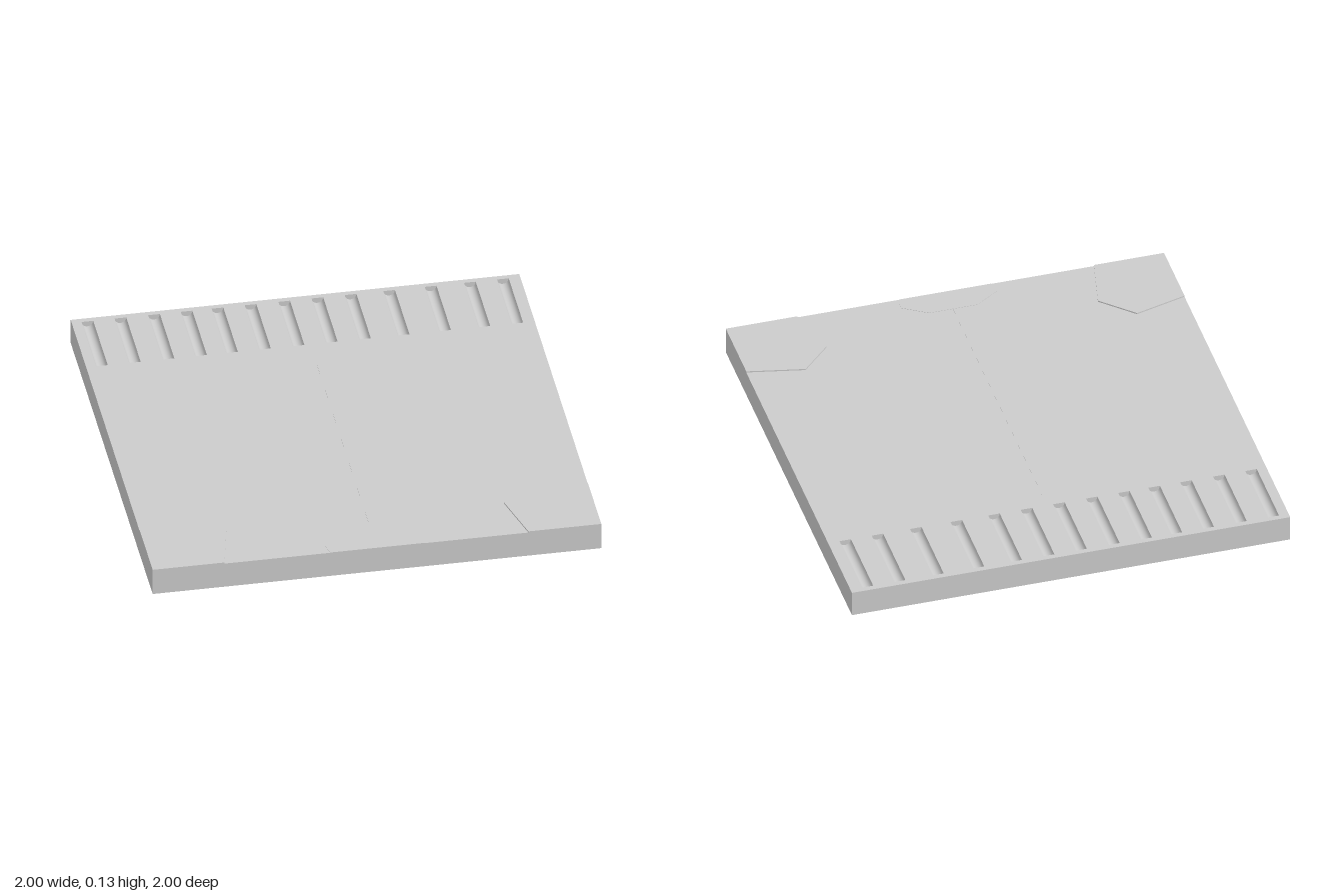
import * as THREE from 'three';

const TOP = 0.122;
const PAD_TOP = 0.128;
const SLOT = { radius: 0.026, back: -0.975, front: -0.622 };
const SLOT_X = [-0.93, -0.783, -0.633, -0.488, -0.35, -0.203, -0.053, 0.095, 0.243, 0.415, 0.6, 0.775, 0.922];

const material = new THREE.MeshStandardMaterial({ color: 0xcccccc, flatShading: true });
const grooveMaterial = new THREE.MeshStandardMaterial({ color: 0xcccccc, side: THREE.DoubleSide });

// Outline given as [x, z] pairs on the ground plane
const outline = (points) => points.map(([x, z]) => new THREE.Vector2(x, -z));

function addMesh(parent, name, geometry, mat = material) {
  const mesh = new THREE.Mesh(geometry, mat);
  mesh.name = name;
  parent.add(mesh);
  return mesh;
}

// Low plate standing on the slab
function addPlate(parent, name, points, top) {
  const geometry = new THREE.ExtrudeGeometry(new THREE.Shape(outline(points)), {
    depth: top - TOP, bevelEnabled: false,
  });
  geometry.rotateX(-Math.PI / 2);
  addMesh(parent, name, geometry).position.y = TOP;
}

export function createModel() {
  const model = new THREE.Group();
  model.name = 'slab';

  // Slab sides and underside: a box without its top face
  const box = new THREE.BoxGeometry(2, TOP, 2);
  box.setIndex(Array.from(box.index.array).filter((_, i) => i < 12 || i >= 18));
  box.clearGroups();
  addMesh(model, 'slabBody', box).position.y = TOP / 2;

  // Top surface, cut open over each slot
  const surface = new THREE.Shape(outline([[-1, 1], [1, 1], [1, -1], [-1, -1]]));
  for (const x of SLOT_X) {
    const a = x - SLOT.radius, b = x + SLOT.radius;
    surface.holes.push(new THREE.Path(outline([[a, SLOT.back], [b, SLOT.back], [b, SLOT.front], [a, SLOT.front]])));
  }
  addMesh(model, 'topSurface', new THREE.ShapeGeometry(surface).rotateX(-Math.PI / 2)).position.y = TOP;

  // Rounded slots along the back edge
  const length = SLOT.front - SLOT.back;
  const trough = new THREE.CylinderGeometry(SLOT.radius, SLOT.radius, length, 12, 1, true, -Math.PI / 2, Math.PI);
  trough.rotateX(Math.PI / 2);
  const end = new THREE.CircleGeometry(SLOT.radius, 12, Math.PI, Math.PI);
  for (const x of SLOT_X) {
    const slot = new THREE.Group();
    slot.name = 'slot';
    slot.position.set(x, TOP, (SLOT.front + SLOT.back) / 2);
    addMesh(slot, 'slotTrough', trough, grooveMaterial);
    for (const s of [-1, 1]) addMesh(slot, 'slotEnd', end, grooveMaterial).position.z = s * length / 2;
    model.add(slot);
  }

  // Raised pads in the front corners
  addPlate(model, 'rightCornerPad', [[-1, 1], [-0.68, 1], [-0.625, 0.745], [-0.765, 0.61], [-1, 0.675]], PAD_TOP);
  addPlate(model, 'leftCornerPad', [[1, 1], [1, 0.675], [0.745, 0.62], [0.61, 0.755], [0.675, 1]], PAD_TOP);

  // Very shallow pad at the middle of the front edge
  addPlate(model, 'frontPad', [[-0.21, 1], [0.21, 1], [0.22, 0.94], [0.11, 0.87], [-0.11, 0.87], [-0.22, 0.94]], 0.1235);

  // Hairline centre ridge running back from the front pad
  addPlate(model, 'centreRidge', [[-0.001, 0.87], [0.001, 0.87], [0.001, -0.54], [-0.001, -0.54]], 0.123);

  return model;
}
